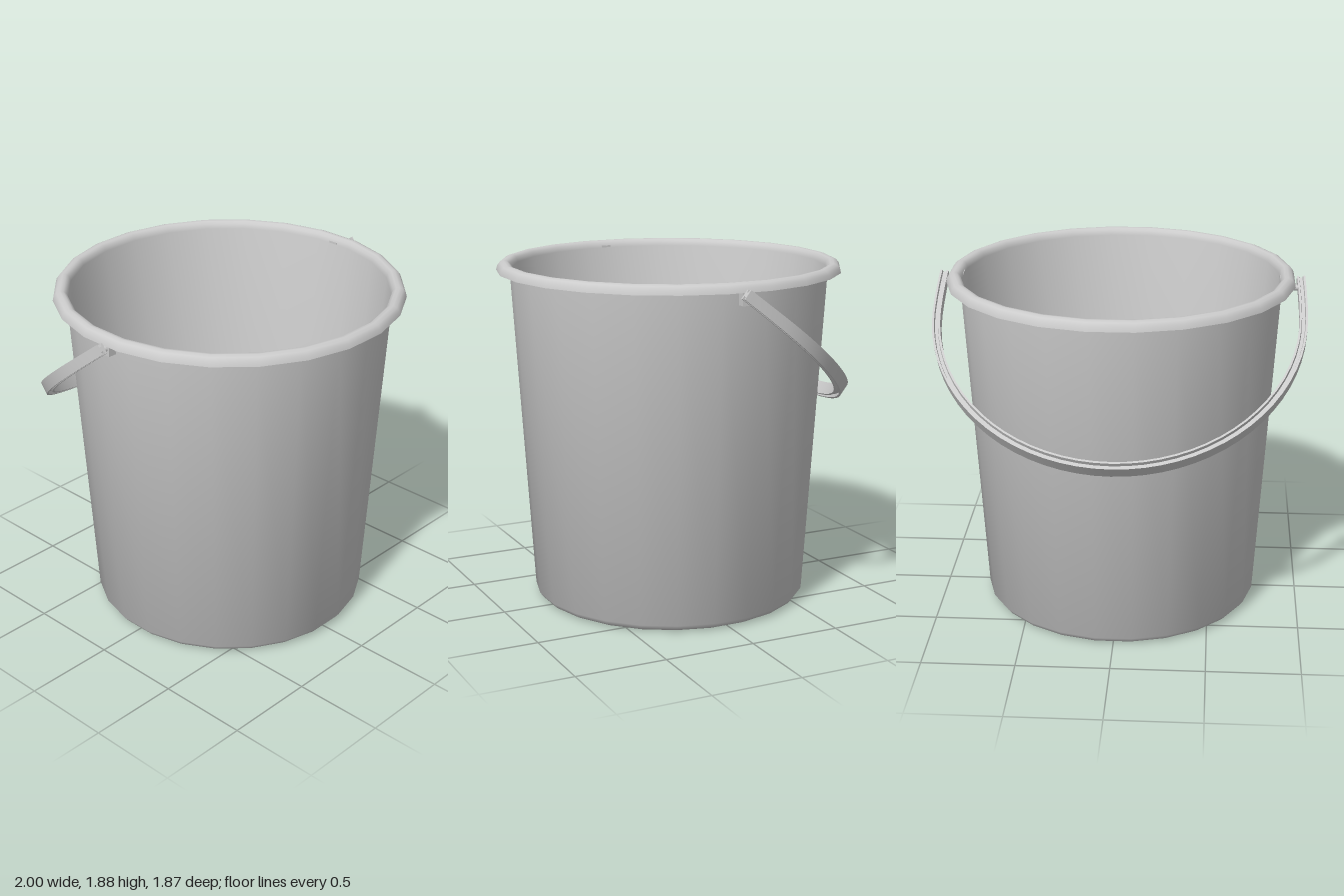
import * as THREE from 'three';
import { toCreasedNormals } from 'three/addons/utils/BufferGeometryUtils.js';

const SIDES = 24;
const TILT = 0.662; // how far the handle hangs below horizontal
const PIVOT_Y = 1.793;

const material = new THREE.MeshStandardMaterial({ color: 0xcccccc, side: THREE.DoubleSide });

function addMesh(parent, name, geometry) {
  const mesh = new THREE.Mesh(geometry, material);
  mesh.name = name;
  parent.add(mesh);
  return mesh;
}

// Tapered shell: underside, outer wall, overhanging lip, inner wall, floor
function bucketGeometry() {
  const profile = [
    [0, 0], [0.71, 0], [0.735, 0.012], [0.757, 0.04],
    [0.869, 1.855], [0.912, 1.855], [0.92, 1.83], [0.94, 1.83],
    [0.934, 1.853], [0.92, 1.872], [0.9, 1.88], [0.882, 1.878], [0.866, 1.866], [0.858, 1.84],
    [0.735, 0.07], [0.68, 0.03], [0, 0.03],
  ].map(([r, y]) => new THREE.Vector2(r, y));
  const lathe = new THREE.LatheGeometry(profile, SIDES, Math.PI / SIDES);
  return toCreasedNormals(lathe, 0.85);
}

// Centre line of the handle, lying flat in x/z and reaching towards -z
function handlePath() {
  const a = 0.978, b = 0.93, s0 = 0.21;
  const arm = [-0.057, 0.03, 0.12].map((s) => [a - 0.18 * (s - s0) ** 2, -s]);
  const arc = [];
  for (let i = 0; i <= 36; i++) {
    const t = (i / 36) * Math.PI;
    arc.push([a * Math.cos(t), -s0 - b * Math.sin(t)]);
  }
  const mirrored = arm.map(([x, z]) => [-x, z]).reverse();
  return [...arm, ...arc, ...mirrored].map(([x, z]) => new THREE.Vector3(x, 0, z));
}

// H-shaped section (grooved above and below) swept along the path
function handleGeometry() {
  const quarter = [[0.022, 1], [0.011, 1], [0.008, 0.45]];
  const flip = (pts, sx, sy) => pts.map(([o, y]) => [o * sx, y * sy]);
  const section = [
    ...quarter,
    ...flip(quarter, -1, 1).reverse(),
    ...flip(quarter, -1, -1),
    ...flip(quarter, 1, -1).reverse(),
  ];
  const path = handlePath();
  const n = section.length, last = path.length - 1;
  const positions = [], index = [];

  path.forEach((p, i) => {
    const t = path[Math.min(i + 1, last)].clone().sub(path[Math.max(i - 1, 0)]).normalize();
    const out = new THREE.Vector3(-t.z, 0, t.x);
    // the band is widest at the middle of the arc
    const half = 0.0285 + 0.009 * Math.min(1, Math.max(0, -p.z / 1.14));
    for (const [o, y] of section) {
      positions.push(p.x + out.x * o, y * half, p.z + out.z * o);
    }
    if (i === last) return;
    for (let j = 0; j < n; j++) {
      const k = (j + 1) % n;
      const A = i * n + j, B = i * n + k, C = A + n, D = B + n;
      index.push(A, C, B, B, C, D);
    }
  });

  // End caps
  const outline = section.map(([o, y]) => new THREE.Vector2(o, y * 0.0285));
  for (const [f, g, h] of THREE.ShapeUtils.triangulateShape(outline, [])) {
    index.push(f, g, h, last * n + f, last * n + h, last * n + g);
  }

  const geometry = new THREE.BufferGeometry();
  geometry.setAttribute('position', new THREE.Float32BufferAttribute(positions, 3));
  geometry.setIndex(index);
  return toCreasedNormals(geometry, 0.5);
}

export function createModel() {
  const model = new THREE.Group();
  model.name = 'bucket';

  addMesh(model, 'bucketShell', bucketGeometry());

  // Handle hanging down at the back
  const handle = addMesh(model, 'handle', handleGeometry());
  handle.position.y = PIVOT_Y;
  handle.rotation.x = -TILT;

  // Lug and pivot pin on each side
  for (const [side, sx] of [['left', 1], ['right', -1]]) {
    const lug = addMesh(model, side + 'Lug', new THREE.BoxGeometry(0.05, 0.095, 0.055));
    lug.position.set(sx * 0.876, 1.805, 0);
    const pin = addMesh(model, side + 'PivotPin', new THREE.CylinderGeometry(0.016, 0.016, 0.09, 12));
    pin.rotation.z = Math.PI / 2;
    pin.position.set(sx * 0.925, PIVOT_Y, 0);
  }

  return model;
}
